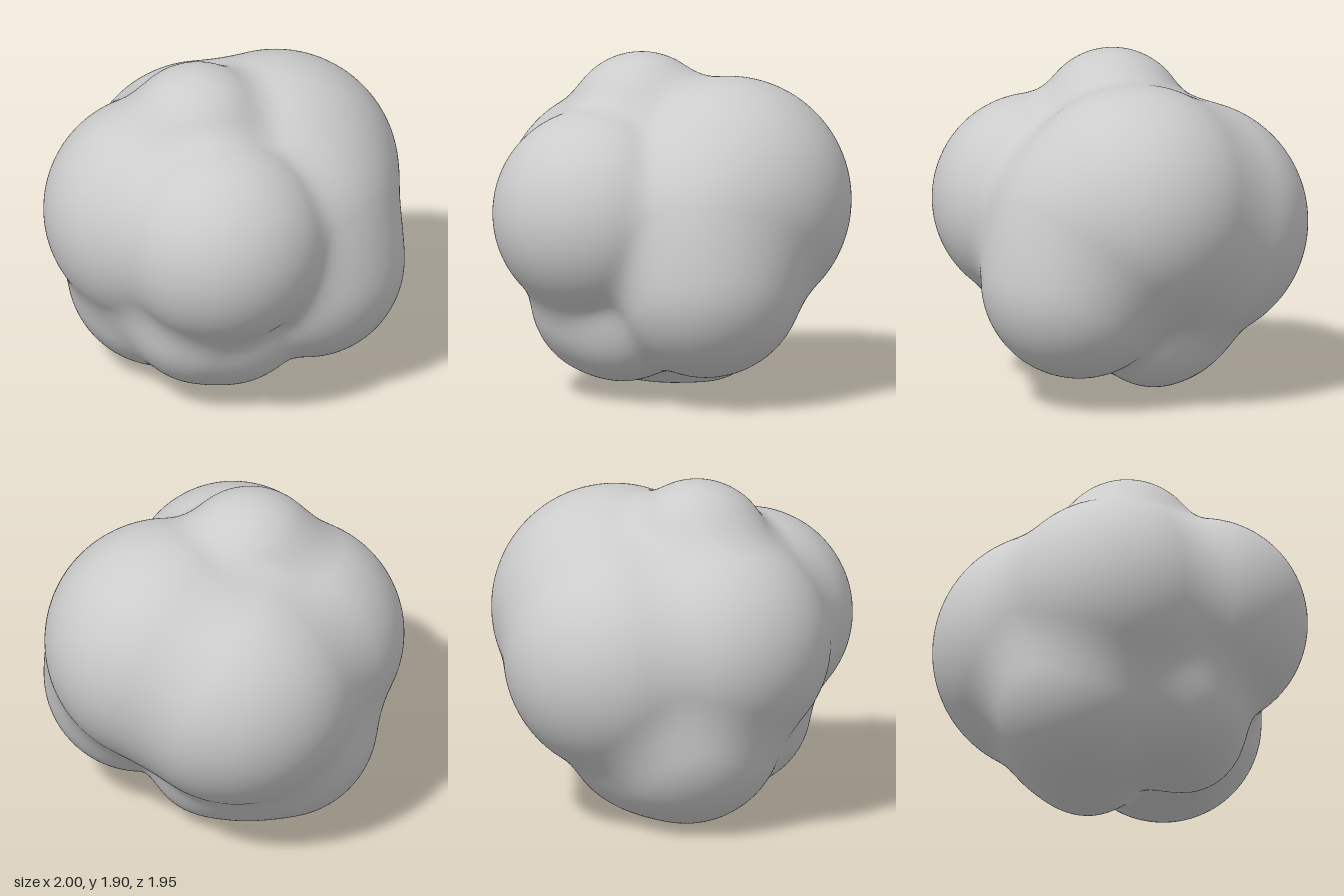
import * as THREE from 'three';
import { mergeVertices } from 'three/addons/utils/BufferGeometryUtils.js';

// Lobes of the lump: centre x, y, z and radius
const LOBES = [
  [-0.38, 1.05, 0.38, 0.59],  // front, right-hand side of the model
  [0.31, 1.10, 0.10, 0.69],   // large left lobe
  [0.22, 1.00, 0.37, 0.54],   // front swelling of the left lobe
  [0.24, 0.70, 0.42, 0.55],   // lower front
  [-0.20, 1.48, 0.00, 0.42],  // crown
  [-0.35, 1.02, -0.15, 0.65], // right flank
  [0.13, 0.95, -0.30, 0.68],  // back
  [-0.21, 0.55, -0.25, 0.55], // underside, back
  [0.05, 0.46, -0.15, 0.44],  // underside, middle
  [-0.33, 0.55, 0.19, 0.46],  // underside, right front
  [0.20, 0.33, -0.05, 0.25],  // small underside bump
  [-0.21, 0.42, 0.36, 0.30],  // small lower front bump
];
const BLEND = 0.12;

// Distance to the softly blended union of the lobes
function distance(p) {
  let d = Infinity;
  for (const [x, y, z, r] of LOBES) {
    const s = Math.hypot(p.x - x, p.y - y, p.z - z) - r;
    if (d === Infinity) { d = s; continue; }
    const h = Math.max(BLEND - Math.abs(d - s), 0) / BLEND;
    d = Math.min(d, s) - h * h * BLEND * 0.25;
  }
  return d;
}

export function createModel() {
  const group = new THREE.Group();
  group.name = 'lumpyBoulder';

  // Shrink-wrap a fine sphere onto the lobes along its own radii
  let geometry = new THREE.IcosahedronGeometry(1, 44);
  geometry.deleteAttribute('uv');
  geometry.deleteAttribute('normal');
  geometry = mergeVertices(geometry, 1e-4);
  const pos = geometry.attributes.position;
  const centre = new THREE.Vector3(0, 0.92, 0);
  const dir = new THREE.Vector3();
  const p = new THREE.Vector3();
  for (let i = 0; i < pos.count; i++) {
    dir.fromBufferAttribute(pos, i).normalize();
    let r = 1.6;
    for (let step = 0; step < 80; step++) {
      const d = distance(p.copy(centre).addScaledVector(dir, r));
      r -= d;
      if (Math.abs(d) < 0.0003) break;
    }
    p.copy(centre).addScaledVector(dir, r);
    pos.setXYZ(i, p.x, p.y, p.z);
  }

  // Rest it on the ground
  geometry.computeBoundingBox();
  geometry.translate(0, -geometry.boundingBox.min.y, 0);
  geometry.computeVertexNormals();

  const body = new THREE.Mesh(geometry, new THREE.MeshStandardMaterial({ color: 0xcccccc }));
  body.name = 'lobedBody';
  group.add(body);
  return group;
}
